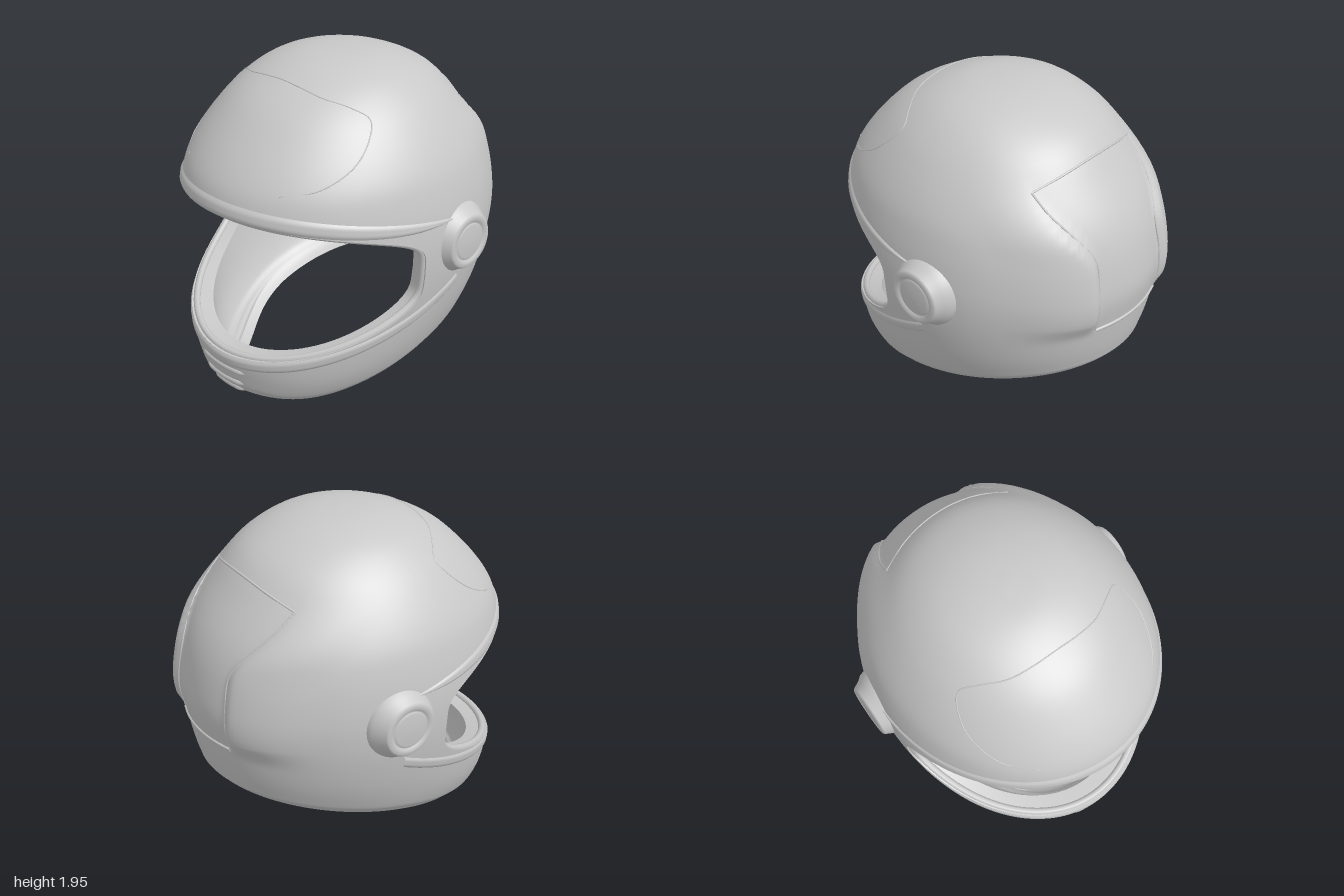
import * as THREE from 'three';
import { mergeVertices } from 'three/addons/utils/BufferGeometryUtils.js';

// Profile rows from crown to rim: front z, front y, side x, side y, back z, back y
const ROWS = [
  [0, 1.94, 0, 1.94, 0, 1.94],
  [.22, 1.925, .21, 1.925, .2, 1.925],
  [.42, 1.86, .41, 1.86, .4, 1.87],
  [.62, 1.75, .565, 1.74, .6, 1.76],
  [.8, 1.58, .685, 1.59, .76, 1.57],
  [.92, 1.43, .78, 1.42, .88, 1.4],
  [.97, 1.32, .825, 1.27, .95, 1.24],
  [.985, 1.2, .85, 1.12, .99, 1.06],
  [.98, .95, .86, .95, 1, .93],
  [.98, .65, .845, .75, .98, .79],
  [.985, .36, .8, .52, .955, .64],
  [.97, .2, .745, .34, .93, .53],
  [.95, .1, .69, .23, .9, .45],
  [.91, .05, .62, .18, .82, .39],
];
const LAST = ROWS.length - 1;
const smooth = THREE.MathUtils.smoothstep;

function row(t) {
  const f = Math.min(Math.max(t, 0), 1) * LAST, i = Math.min(Math.floor(f), LAST - 1), u = f - i;
  const a = ROWS[Math.max(i - 1, 0)], b = ROWS[i], c = ROWS[i + 1], d = ROWS[Math.min(i + 2, LAST)];
  return b.map((p, k) => p + .5 * u * (c[k] - a[k] + u * (2 * a[k] - 5 * p + 4 * c[k] - d[k] + u * (3 * (p - c[k]) + d[k] - a[k]))));
}

// Half-angle of the recessed rear panel at height t
const panelEdge = t => .33 + .4 * (1 - smooth(t * LAST, 3.2, 6.2));

// Raised shoulders on both sides of the rear panel
function shoulder(a, t) {
  const d = Math.acos(-Math.cos(a)), e = panelEdge(t), k = t * LAST;
  return .042 * smooth(d, e - .03, e + .06) * (1 - smooth(d, e + .06, e + .65))
    * smooth(k, 3.3, 5.5) * (1 - smooth(k, 8.4, 9.4));
}

// Shell point at azimuth a (0 = front, +x at 90 degrees) and height parameter t
function surf(a, t, scale = 1) {
  const [fz, fy, sx, sy, bz, by] = row(t), c = Math.cos(a), s = Math.sin(a);
  const front = c > 0, low = smooth(t, .6, .85);
  const slant = front ? (.26 * c - .13 * c ** 6) / .13 : -c;
  const g = c * c + (slant - c * c) * low;
  const tuck = front ? .1 * Math.sin(2 * a) ** 2 * t ** 12 : 0;
  const r = scale * (1 + shoulder(a, t) - tuck - .014 * smooth(t, .885, .905));
  return new THREE.Vector3(sx * s * r, sy + ((front ? fy : by) - sy) * g, (front ? fz : bz) * c * r);
}

function inner(a, t) {
  const p = surf(a, t, .875 - .055 * t ** 4);
  p.y -= .1 * Math.max(0, 1 - 1.8 * t) ** 1.5;
  return p;
}

function tAt(a, y) {
  let lo = 0, hi = 1;
  for (let i = 0; i < 26; i++) {
    const m = (lo + hi) / 2;
    if (surf(a, m).y > y) lo = m; else hi = m;
  }
  return (lo + hi) / 2;
}

// Eye opening, as upper and lower edge heights
const A_OPEN = 1.41;
const browY = a => 1.07 + .17 * Math.cos(a);
const chinY = a => .34 + .31 * (1 - Math.cos(a));
function edgeY(a, sign) {
  const s = Math.min(Math.abs(a) / A_OPEN, 1), mid = (browY(a) + chinY(a)) / 2;
  return mid + sign * (browY(a) - chinY(a)) / 2 * (1 - s ** 5) ** .2;
}
const T_MID = tAt(A_OPEN, edgeY(A_OPEN, 1));
const edgeT = (a, sign) => Math.abs(a) >= A_OPEN - 1e-6 ? T_MID : tAt(a, edgeY(a, sign));

// Columns, packed closely beside the corners of the opening
const COLS = [];
for (let i = 0; i <= 64; i++) COLS.push(A_OPEN * Math.sin(Math.PI * (i / 64 - .5)));
for (let i = 1; i <= 120; i++) COLS.push(A_OPEN + (2 * Math.PI - 2 * A_OPEN) * i / 120);

// Sheet from rows of points; pt(a, v) with v in 0..1
function sheet(cols, n, pt, flip = false) {
  const pos = [], idx = [];
  cols.forEach(a => { for (let j = 0; j <= n; j++) pos.push(...pt(a, j / n).toArray()); });
  for (let i = 0; i < cols.length - 1; i++) for (let j = 0; j < n; j++) {
    const p = i * (n + 1) + j, q = p + n + 1;
    if (flip) idx.push(p, q, p + 1, q, q + 1, p + 1);
    else idx.push(p, p + 1, q, q, p + 1, q + 1);
  }
  return { pos, idx };
}

function geometry(...sheets) {
  const pos = [], idx = [];
  for (const s of sheets) {
    const base = pos.length / 3;
    s.pos.forEach(v => pos.push(v));
    s.idx.forEach(k => idx.push(k + base));
  }
  let g = new THREE.BufferGeometry();
  g.setAttribute('position', new THREE.Float32BufferAttribute(pos, 3));
  g.setIndex(idx);
  g = mergeVertices(g, 1e-4);
  g.computeVertexNormals();
  return g;
}

export function createModel() {
  const group = new THREE.Group();
  const grey = new THREE.MeshStandardMaterial({ color: 0xc8c8c8, side: THREE.DoubleSide });
  grey.name = 'helmet grey';
  const add = (name, geo) => {
    const m = new THREE.Mesh(geo, grey);
    m.name = name;
    group.add(m);
    return m;
  };
  const tube = (name, pts, r, closed = false, n = 80) =>
    add(name, new THREE.TubeGeometry(new THREE.CatmullRomCurve3(pts, closed), n, r, 8, closed));

  // Outer shell and inner liner share the same openings
  const wrap = a => a > Math.PI ? a - 2 * Math.PI : a;
  const edges = new Map(COLS.map(a => [a, [edgeT(wrap(a), 1), edgeT(wrap(a), -1)]]));
  const halves = (fn, flip) => geometry(
    sheet(COLS, 32, (a, v) => fn(a, v * edges.get(a)[0]), flip),
    sheet(COLS, 32, (a, v) => fn(a, edges.get(a)[1] + v * (1 - edges.get(a)[1])), flip));
  add('outerShell', halves(surf, false));
  add('innerLiner', halves(inner, true));

  // Lips joining shell and liner
  const front = COLS.slice(0, 65);
  const lip = (cols, t, flip) => sheet(cols, 2, (a, v) => surf(a, t(a)).lerp(inner(a, t(a)), v), flip);
  add('eyeOpeningLip', geometry(lip(front, a => edges.get(a)[0]), lip(front, a => edges.get(a)[1], true)));
  add('neckLip', geometry(lip(COLS, () => 1)));

  // Rubber trims round both openings
  const loop = [...front.map(a => surf(a, edges.get(a)[0], .965)),
    ...front.slice(1, -1).reverse().map(a => surf(a, edges.get(a)[1], .965))];
  tube('eyeOpeningTrim', loop, .022, true, 240);
  const rim = [];
  for (let i = 0; i < 48; i++) rim.push(surf(i * Math.PI / 24, 1, .96).add(new THREE.Vector3(0, .02, 0)));
  tube('neckTrim', rim, .034, true, 160);

  // Raised bands over the brow and along the chin bar
  const band = (name, reach, hi, lo, lift) => {
    const cols = Array.from({ length: 81 }, (_, i) => reach * (i / 40 - 1));
    add(name, geometry(sheet(cols, 8, (a, v) => {
      const t0 = tAt(a, hi(a)), t1 = tAt(a, lo(a));
      return surf(a, t0 + (t1 - t0) * v, 1 + lift * Math.min(1, 5 * Math.min(v, 1 - v)));
    })));
  };
  band('browBand', 1.62, a => 1.145 + .185 * Math.cos(a),
    a => Math.max(edgeY(a, 1), browY(a) + .065 * (Math.abs(a) / 1.62) ** 6), .011);
  const chinTop = a => chinY(a) + .05 * (Math.abs(a) / 1.7) ** 6;
  band('chinBand', 1.7, chinTop, a => chinTop(a) - .075, .011);

  // Chin vent ribs
  for (const [y, w] of [[.235, .21], [.15, .19], [.085, .16]]) {
    const pts = [-1, -.75, -.4, 0, .4, .75, 1].map(k => {
      const a = k * w / .8;
      return surf(a, tAt(a, y), Math.abs(k) === 1 ? .97 : .99);
    });
    tube('chinVentRib', pts, .02, false, 30);
  }

  // Forehead panel outline
  const half = [[0, 2.06], [.35, 2.18], [.64, 2.42], [.95, 2.72], [1.12, 3.1], [1.1, 3.6], [.98, 4.3], [.75, 4.9], [.5, 5.15]];
  const outline = [...half.slice(1).reverse().map(([a, k]) => [-a, k]), ...half];
  tube('foreheadSeam', outline.map(([a, k]) => surf(a, k / LAST, .999)), .004, false, 140);

  // Rear panel frame
  const frame = (name, pts, r) => tube(name, pts.map(([d, k]) => surf(Math.PI + d, k / LAST, .998)), r, false, 60);
  const corner = panelEdge(3.85 / LAST), steps = [-1, -.6, -.2, .2, .6, 1];
  for (const m of [-1, 1])
    frame('rearPanelEdge', [3.85, 4.4, 5, 6, 7, 8, 9.1].map(k => [m * panelEdge(k / LAST), k]), .007);
  frame('rearPanelTop', steps.map(k => [k * corner, 3.4 + .45 * k * k]), .007);
  frame('rearPanelBottom', steps.map(k => [k * .33, 9.1]), .012);

  // Padding seams on the back of the liner
  const padding = pts => tube('paddingSeam',
    pts.map(([d, y]) => inner(Math.PI + d, tAt(Math.PI + d, y))), .007, false, 40);
  for (const m of [-1, 1]) padding([[.53, 1.35], [.5, 1.2], [.45, 1], [.41, .8]].map(([d, y]) => [m * d, y]));
  padding([-.41, -.2, 0, .2, .41].map(d => [d, .8]));

  // Round visor pivots on each side
  const profile = [[.22, .77], [.22, .8], [.21, .835], [.188, .86], [.165, .905], [.155, .915], [.128, .917],
    [.12, .905], [.108, .905], [.1, .915], [0, .917]].map(([r, h]) => new THREE.Vector2(r, h));
  for (const m of [-1, 1]) {
    const pivot = add(m > 0 ? 'leftVisorPivot' : 'rightVisorPivot', new THREE.LatheGeometry(profile, 48));
    pivot.rotation.z = -m * Math.PI / 2;
    pivot.position.set(0, .97, -.145);
  }

  // Rest on the ground
  group.updateMatrixWorld(true);
  group.position.y = -new THREE.Box3().setFromObject(group, true).min.y;
  return group;
}
